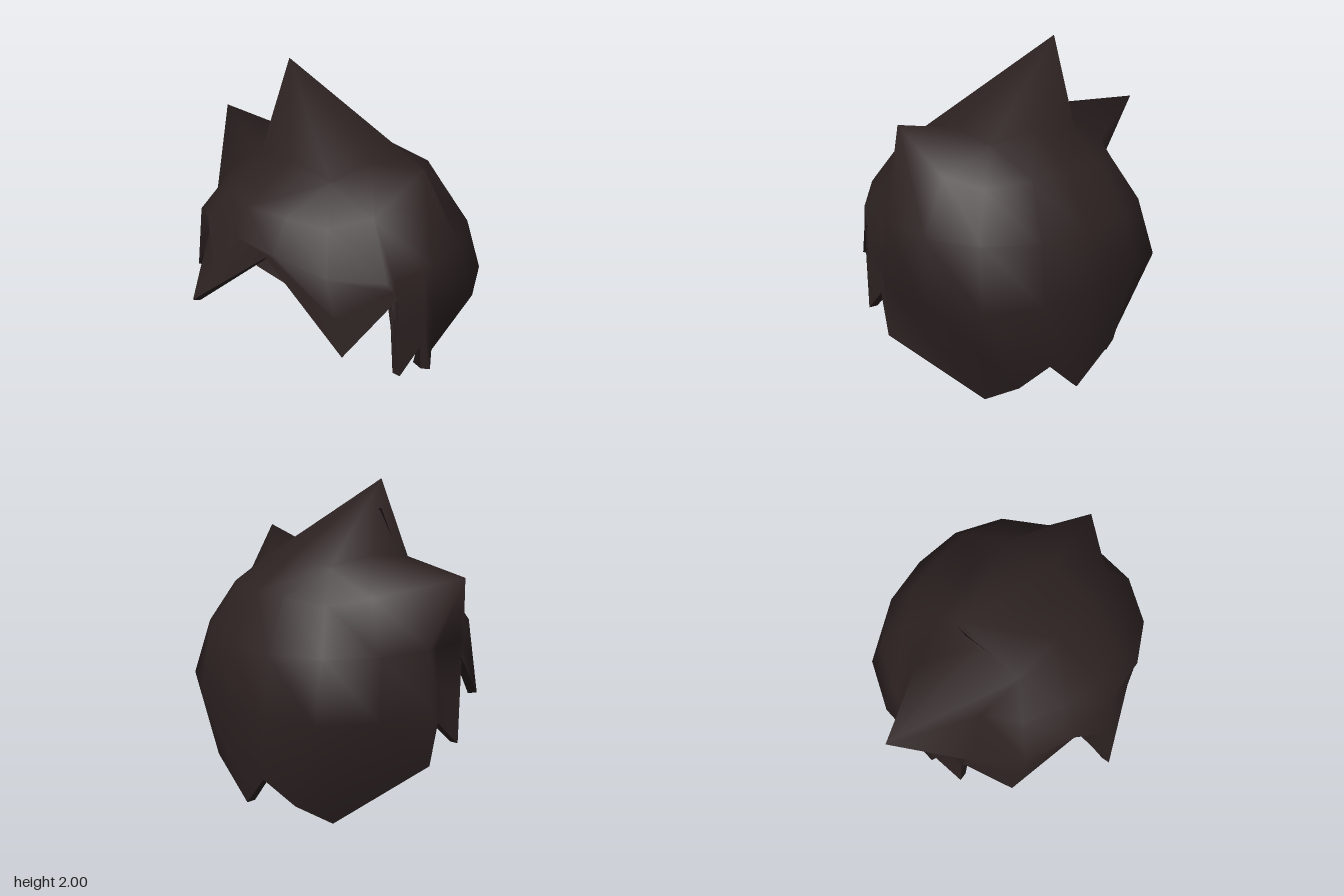
import * as THREE from 'three';

const CX = 0.105, CZ = -0.05, THICK = 0.055;
const BULGE = [1, 1.05, 1.08, 1.05], SOFT_BULGE = [1, 1.03, 1.05, 1.03];

// Point around the crown; column 0 is the front, 4 the left side, 8 the back
function polar(col, r, y) {
  const a = col * Math.PI / 8;
  return new THREE.Vector3(CX + Math.sin(a) * r, y, CZ + Math.cos(a) * r);
}
function ringPoint(col, r, y, bulge = BULGE) {
  const k = Math.floor(col), f = col - k;
  const at = (i) => polar(i, r * bulge[i % 4], y);
  return f ? at(k).lerp(at(k + 1), f) : at(k);
}

// Hem of the left half: column, x, y, z
const HEM = [
  [0, -0.08, 0.79, 0.885], [1, 0.34, 1.17, 0.67], [2, 0.785, 0.67, 0.51],
  [3, 0.91, 0.98, 0.22], [3.15, 0.93, 0.46, 0.19], [3.8, 0.945, 0.64, 0],
  [4, 0.945, 0.39, -0.06], [5, 0.55, 0, -0.46], [6, 0.45, 0.14, -0.66],
  [7, 0.35, 0.32, -0.81], [8, 0.105, 0.07, -0.77],
];

function buildShell() {
  const pts = [], tris = [];
  const add = (p) => pts.push(p) - 1;
  const tri = (a, b, c) => { if (a !== b && b !== c && a !== c) tris.push([a, b, c]); };
  const quad = (a, b, c, d) => { tri(a, b, c); tri(a, c, d); };

  // Crown rings, with the apex and both sides pulled out into spikes
  const apex = add(new THREE.Vector3(-0.29, 2, -0.05));
  const r1 = [], r2 = [];
  for (let i = 0; i < 8; i++) {
    r1.push(add(polar(i * 2, i % 2 ? 0.43 : 0.33, i % 2 ? 1.51 : 1.55)));
  }
  for (let i = 0; i < 16; i++) {
    let p = ringPoint(i, i === 0 ? 0.65 : 0.6, i % 4 === 2 ? 1.34 : 1.37);
    if (i === 4) p = new THREE.Vector3(0.81, 1.63, -0.05);
    if (i === 12) p = new THREE.Vector3(-0.96, 1.53, -0.06);
    r2.push(add(p));
  }
  for (let q = 0; q < 4; q++) {
    const a = r1[2 * q], b = r1[2 * q + 1], c = r1[(2 * q + 2) % 8];
    const o = (i) => r2[(4 * q + i) % 16];
    quad(apex, a, b, c);
    quad(b, a, o(0), o(1));
    quad(b, o(1), o(2), o(3));
    quad(c, b, o(3), o(4));
  }

  // Locks: one column of points from the crown down to each hem point
  const mirrored = HEM.slice(1, -1).reverse()
    .map(([c, x, y, z]) => [16 - c, 2 * CX - x, y, z]);
  const columns = [...HEM, ...mirrored].map(([c, x, y, z]) => {
    const side = Math.min(c, 16 - c), hem = new THREE.Vector3(x, y, z);
    let top;
    if (side <= 1) top = ringPoint(c, 0.74, 1.21);
    else if (side === 2) top = ringPoint(c, 0.755, 1.12);
    else top = ringPoint(c, side > 4 ? 0.785 : 0.81, 1.08, SOFT_BULGE);
    let widest = top.clone().lerp(hem, 0.5);
    if (side >= 4) widest = ringPoint(c, side < 6 ? 0.845 : 0.835, 0.74);
    if (side === 5 || side === 6) widest.z -= 0.04;
    return [r2[Math.floor(c)], add(top), add(widest), add(hem)];
  });
  columns.forEach((l, i) => {
    const r = columns[(i + 1) % columns.length];
    for (let k = 0; k < 3; k++) quad(l[k], l[k + 1], r[k + 1], r[k]);
  });
  return { pts, tris, hem: columns.map((c) => c[3]), spikes: [apex, r2[4], r2[12]] };
}

function makeGeometry(pts, tris) {
  const g = new THREE.BufferGeometry().setFromPoints(pts);
  g.setIndex(tris.flat());
  g.computeVertexNormals();
  return g;
}

export function createModel() {
  const group = new THREE.Group();
  group.name = 'hair';
  const darkBrown = new THREE.MeshStandardMaterial({ color: 0x2d2222 });
  darkBrown.name = 'darkBrown';
  const addMesh = (name, geometry) => {
    const mesh = new THREE.Mesh(geometry, darkBrown);
    mesh.name = name;
    group.add(mesh);
  };

  // Outer hair surface
  const { pts, tris, hem, spikes } = buildShell();
  const outer = makeGeometry(pts, tris);
  addMesh('outerHair', outer);

  // Inner lining, offset along the normals and deeper inside the spikes
  const n = new THREE.Vector3();
  const inner = pts.map((p, i) => {
    n.fromBufferAttribute(outer.attributes.normal, i);
    if (hem.includes(i)) n.setY(Math.max(n.y, 0)).normalize();
    return p.clone().addScaledVector(n, spikes.includes(i) ? -3 * THICK : -THICK);
  });
  addMesh('innerLining', makeGeometry(inner, tris.map(([a, b, c]) => [a, c, b])));

  // Flat rim joining both surfaces along the hem
  const rimPts = [], rimTris = [];
  hem.forEach((a, i) => {
    const b = hem[(i + 1) % hem.length], s = rimPts.length;
    rimPts.push(pts[a], inner[a], inner[b], pts[b]);
    rimTris.push([s, s + 1, s + 2], [s, s + 2, s + 3]);
  });
  addMesh('hemRim', makeGeometry(rimPts, rimTris));

  return group;
}
